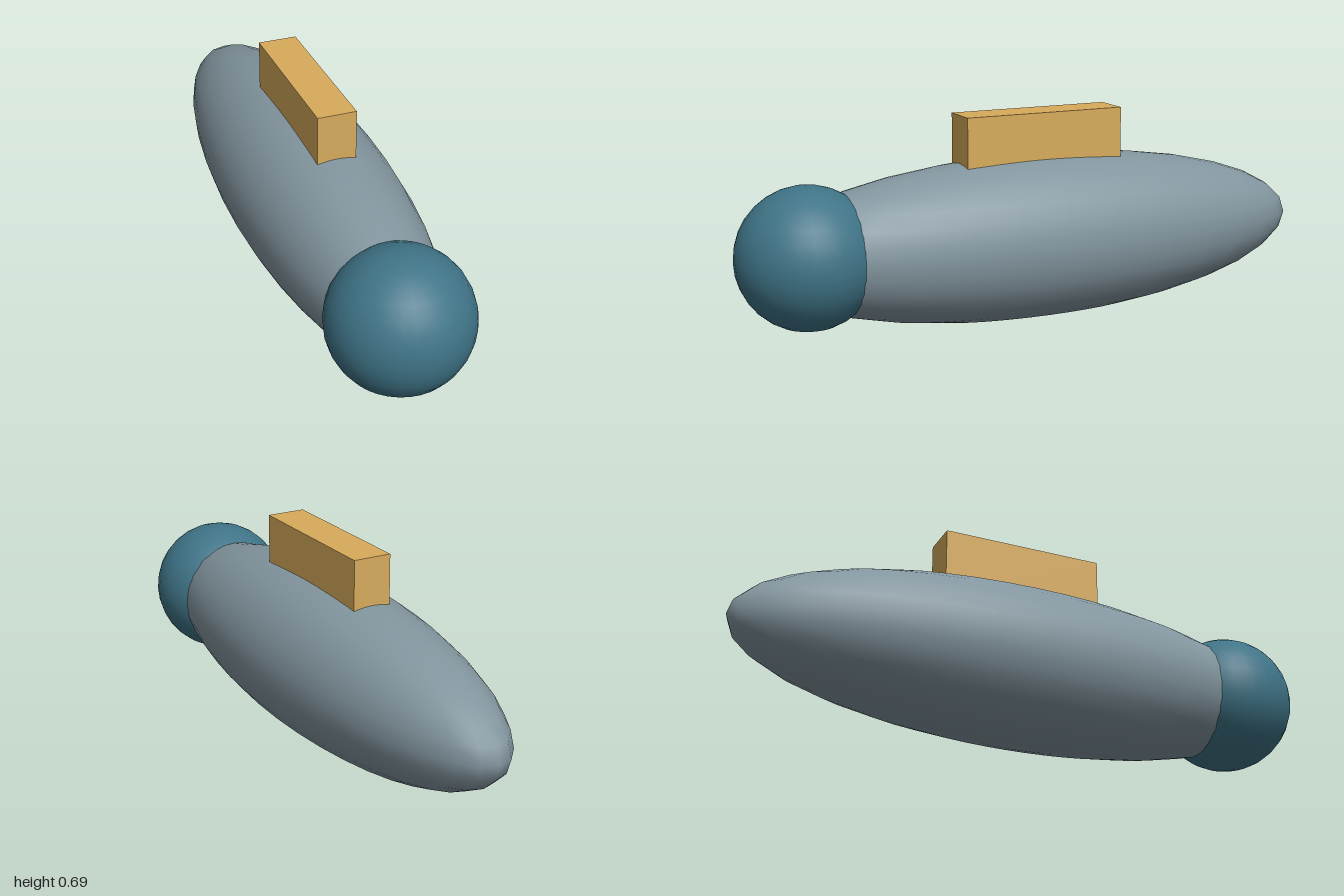
import * as THREE from 'three';

export function createModel() {
  const model = new THREE.Group();

  const add = (name, geometry, color, x, y, z) => {
    const mesh = new THREE.Mesh(geometry, new THREE.MeshStandardMaterial({ color }));
    mesh.name = name;
    mesh.position.set(x, y, z);
    model.add(mesh);
  };

  // Long stretched body, tapering to the rear and buried in the nose ball at the front
  add('body', new THREE.SphereGeometry(1, 32, 16).scale(0.267, 0.274, 0.979), 0x82959e, 0, 0.275, -0.021);

  // Round nose
  add('nose', new THREE.SphereGeometry(0.231, 32, 16), 0x3f7487, 0, 0.279, 0.769);

  // Upright block on the back, sunk into the body
  const top = 0.695, bottom = 0.45;
  add('topFin', new THREE.BoxGeometry(0.13, top - bottom, 0.555), 0xd8ab5c, 0, (top + bottom) / 2, -0.028);

  return model;
}
